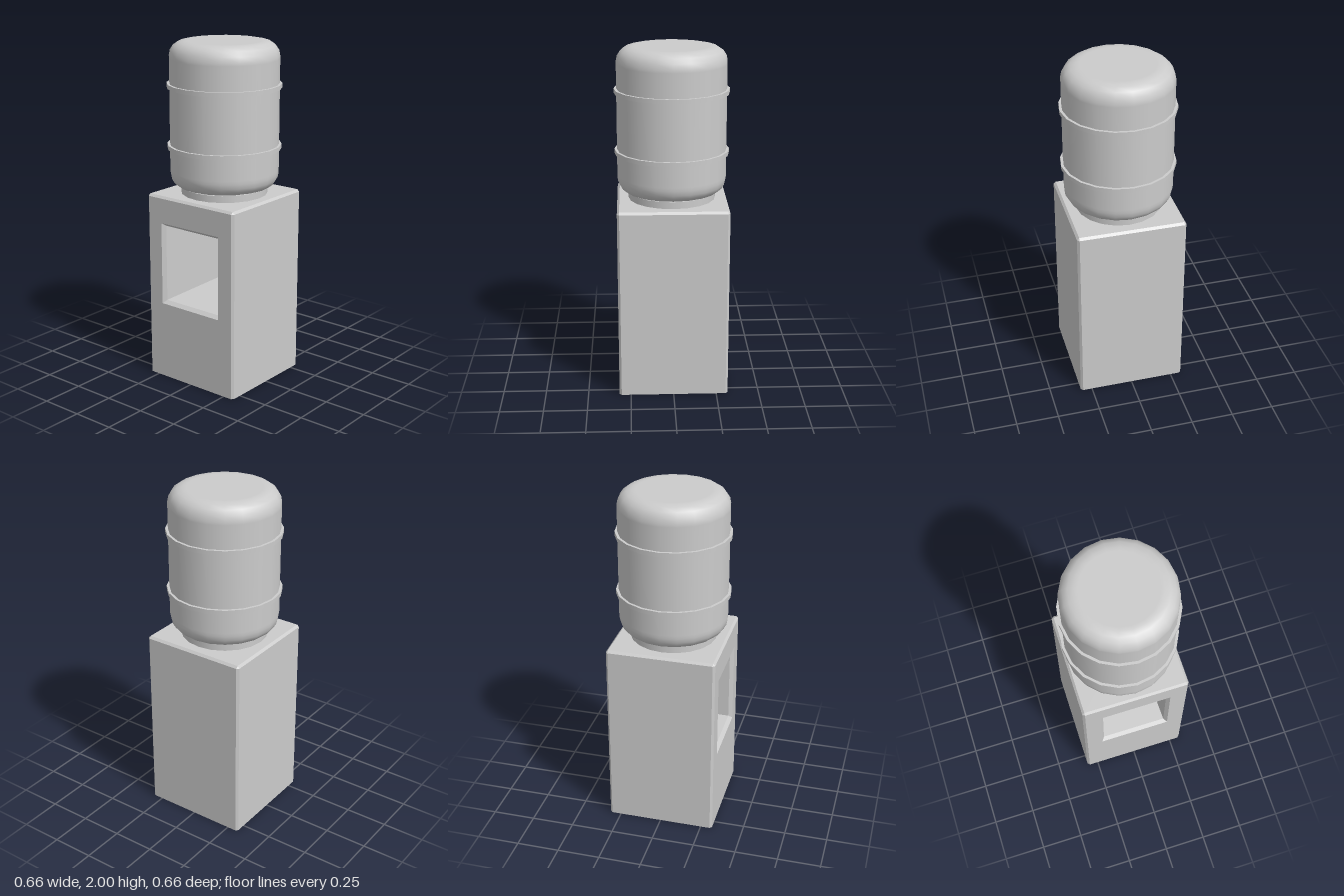
import * as THREE from 'three';

const SIDES = 20;

// Six-point loop: a rectangle in the plane z, top corners cut by c
function loop(hx, y0, y1, z, c = 0) {
  return [[-hx, y0], [hx, y0], [hx, y1 - c], [hx - c, y1], [c - hx, y1], [-hx, y1 - c]]
    .map(([x, y]) => new THREE.Vector3(x, y, z));
}

// Flat-faced skin joining successive loops
function loft(loops) {
  const pos = [];
  const tri = (a, b, c) => {
    const area = b.clone().sub(a).cross(c.clone().sub(a)).length();
    if (area > 1e-9) for (const p of [a, b, c]) pos.push(p.x, p.y, p.z);
  };
  for (let k = 1; k < loops.length; k++) {
    const p = loops[k - 1], q = loops[k], n = p.length;
    for (let i = 0; i < n; i++) {
      const j = (i + 1) % n;
      tri(p[i], p[j], q[j]);
      tri(p[i], q[j], q[i]);
    }
  }
  const g = new THREE.BufferGeometry();
  g.setAttribute('position', new THREE.Float32BufferAttribute(pos, 3));
  g.computeVertexNormals();
  return g;
}

export function createModel() {
  const group = new THREE.Group();
  const mat = new THREE.MeshStandardMaterial({ color: 0xcccccc });
  const add = (name, geometry, y = 0) => {
    const m = new THREE.Mesh(geometry, mat);
    m.name = name;
    m.position.y = y;
    group.add(m);
  };

  // Cabinet with chamfered edges, running from back to front and into the niche
  const h = 0.318, b = 0.013, top = 1.12;
  add('cabinet', loft([
    loop(0, 0.56, 0.56, -h),
    loop(h - b, 0, top - b, -h),
    loop(h, 0, top, b - h, b),
    loop(h, 0, top, h - b, b),
    loop(h - b, 0, top - b, h),
    loop(0.212, 0.464, 0.96, h),      // niche opening
    loop(0.194, 0.483, 0.942, h - 0.022),
    loop(0.176, 0.503, 0.923, -0.28), // niche back
    loop(0, 0.71, 0.71, -0.28),
  ]));

  // Collar between cabinet and bottle
  add('collar', new THREE.CylinderGeometry(0.252, 0.252, 0.05, SIDES), 1.135);

  // Bottle with rounded shoulders
  const profile = [[0, 1.157], [0.225, 1.157], [0.24, 1.16]];
  for (const t of [30, 50, 70, 90]) {
    const a = THREE.MathUtils.degToRad(t);
    profile.push([0.235 + 0.08 * Math.sin(a), 1.24 - 0.08 * Math.cos(a)]);
  }
  profile.push([0.315, 1.26], [0.315, 1.9]);
  for (const t of [0, 22.5, 45, 67.5, 90]) {
    const a = THREE.MathUtils.degToRad(t);
    profile.push([0.23 + 0.085 * Math.cos(a), 1.915 + 0.085 * Math.sin(a)]);
  }
  profile.push([0.21, 2], [0, 2]);
  add('bottle', new THREE.LatheGeometry(profile.map(([r, y]) => new THREE.Vector2(r, y)), SIDES));

  // Raised bands around the bottle
  for (const y of [1.397, 1.748]) {
    add('bottleBand', new THREE.CylinderGeometry(0.33, 0.33, 0.025, SIDES), y);
  }
  return group;
}
